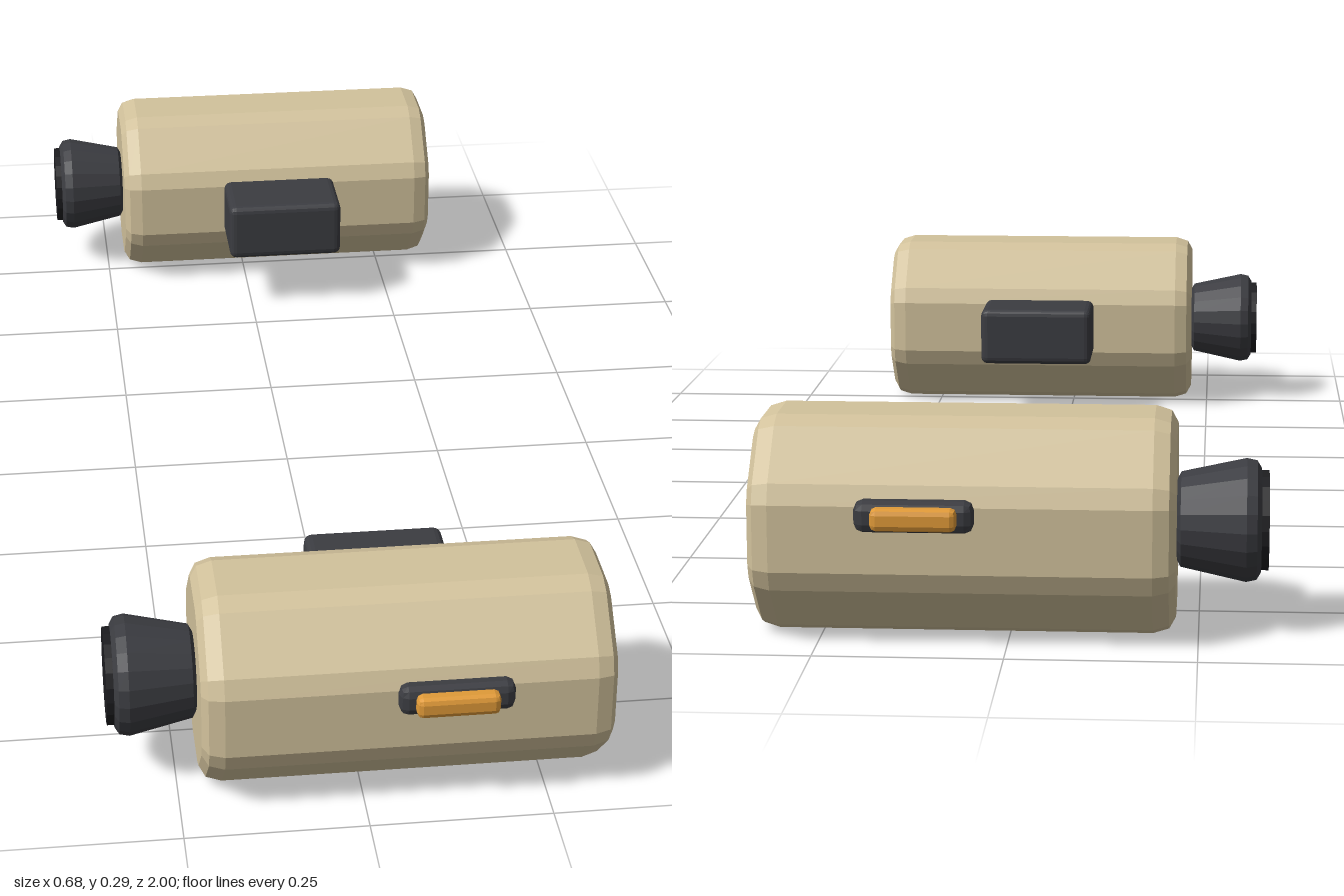
import * as THREE from 'three';
import { RoundedBoxGeometry } from 'three/addons/geometries/RoundedBoxGeometry.js';

const mat = (color) => new THREE.MeshStandardMaterial({ color, flatShading: true });
const CY = 0.146, CZ = 0.82; // axis of each engine

// Octagon with softened corners, extruded along x with bevelled ends
function bodyGeometry(radius, length, bevel) {
  const flat = radius * Math.tan(Math.PI / 8), R = Math.hypot(radius, flat);
  const corner = (i) => {
    const a = (i + 0.5) * Math.PI / 4;
    return new THREE.Vector2(Math.cos(a) * R, Math.sin(a) * R);
  };
  const points = [];
  for (let i = 0; i < 8; i++) {
    points.push(corner(i).lerp(corner(i - 1), 0.13), corner(i).lerp(corner(i + 1), 0.13));
  }
  const geo = new THREE.ExtrudeGeometry(new THREE.Shape(points), {
    depth: length - 2 * bevel, bevelThickness: bevel, bevelSize: 0.022,
    bevelOffset: -0.022, bevelSegments: 2,
  });
  geo.center();
  return geo.rotateY(Math.PI / 2);
}

// Turned part along x, from [x, radius] pairs running towards -x
function turned(profile) {
  const points = profile.map(([x, r]) => new THREE.Vector2(r, -x));
  return new THREE.LatheGeometry(points, 20).rotateZ(Math.PI / 2);
}

export function createModel() {
  const model = new THREE.Group();
  const shell = mat(0xd2c29c), dark = mat(0x3b3c41), black = mat(0x1d1d20), amber = mat(0xe09a38);

  const body = bodyGeometry(0.146, 0.56, 0.03);
  const nozzle = turned([
    [-0.2, 0], [-0.2, 0.053], [-0.219, 0.053], [-0.225, 0.064],
    [-0.312, 0.083], [-0.326, 0.08], [-0.332, 0.07], [-0.332, 0],
  ]);
  const outlet = turned([[-0.325, 0], [-0.325, 0.067], [-0.342, 0.067], [-0.342, 0]]);
  const pylon = new RoundedBoxGeometry(0.2, 0.1, 0.14, 2, 0.012);
  const bezel = new RoundedBoxGeometry(0.156, 0.042, 0.04, 1, 0.012);
  const lamp = new RoundedBoxGeometry(0.112, 0.03, 0.04, 1, 0.008);

  // A mirrored engine on each side
  for (const side of [1, -1]) {
    const engine = new THREE.Group();
    engine.name = side > 0 ? 'frontEngine' : 'backEngine';
    engine.position.set(0, CY, side * CZ);
    const add = (name, geo, material, x = 0, y = 0, z = 0) => {
      const mesh = new THREE.Mesh(geo, material);
      mesh.name = name;
      mesh.position.set(x, y, side * z);
      engine.add(mesh);
    };
    add('engineBody', body, shell, 0.06);
    add('nozzle', nozzle, dark);
    add('nozzleOutlet', outlet, black);
    add('pylon', pylon, dark, 0.06, 0.002, -0.19);    // inboard mount
    add('lampBezel', bezel, dark, 0.118, 0.034, 0.144); // outboard lamp
    add('lamp', lamp, amber, 0.117, 0.034, 0.16);
    model.add(engine);
  }
  return model;
}
